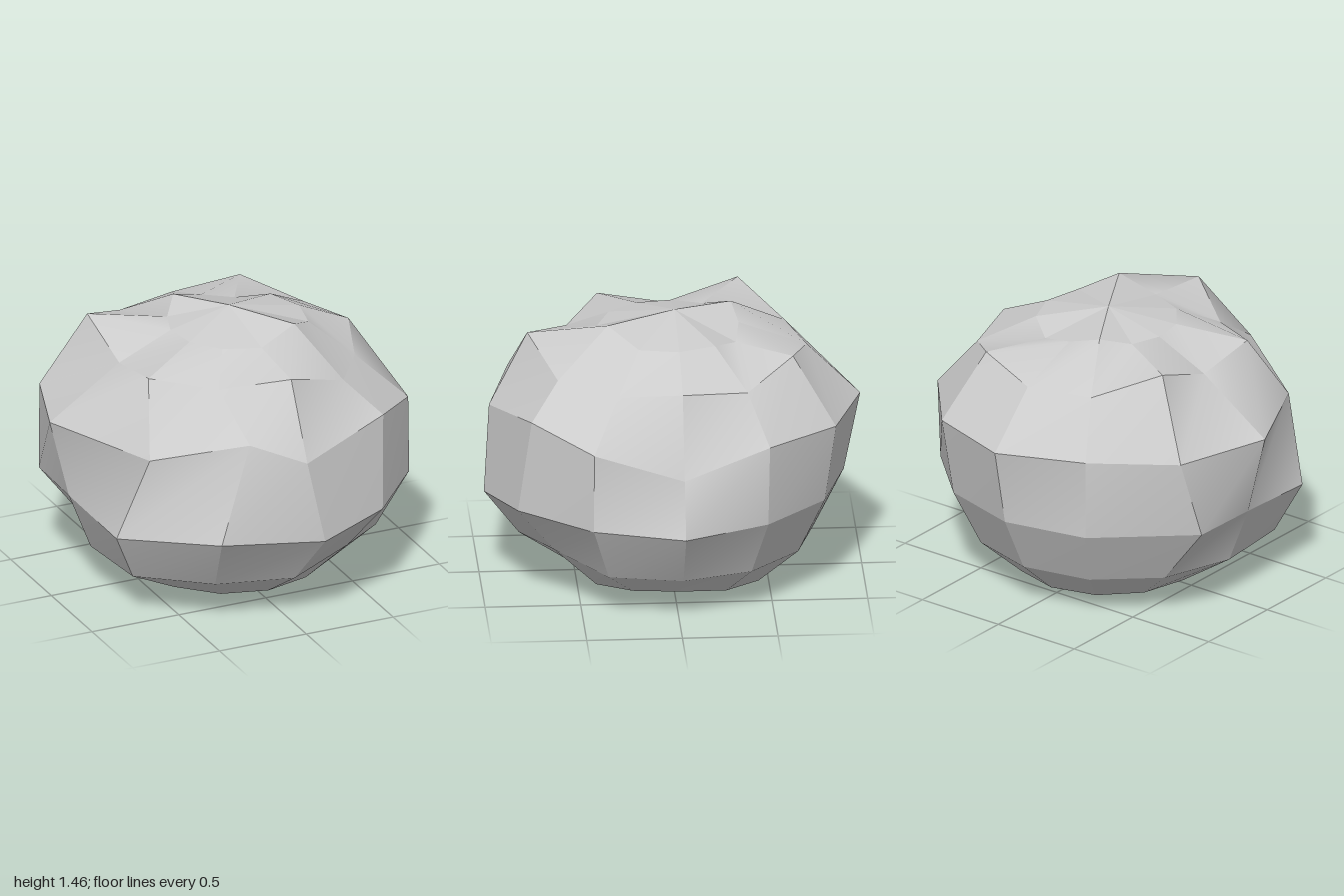
import * as THREE from 'three';

const SIDES = 12;
const CENTRE = { x: 0.03, z: -0.02 };

// Rings from top to bottom: mean radius, height, and a lean of the outline
// towards a direction in degrees. Each dent shifts one corner of the ring:
// side (0 at +x, turning towards +z), radius, height, turn in degrees.
const RINGS = [
  {
    radius: 0.37, height: 1.38, lean: 0.05, towards: 45,
    dents: [[2, 0, 0.08], [8, 0.03, 0.05], [10, 0, -0.04]],
  },
  {
    radius: 0.69, height: 1.25, lean: 0, towards: 0,
    dents: [
      [1, -0.03, -0.05], [2, 0.04, -0.03], [3, 0.08, 0.1], [4, -0.06, 0.01], [5, 0.04, 0.06],
      [6, -0.06, 0], [7, 0.05, 0.13], [10, 0, 0.07], [11, 0, -0.03],
    ],
  },
  {
    radius: 0.94, height: 0.97, lean: 0, towards: 0,
    dents: [
      [0, -0.09, -0.14], [2, 0, 0.08, -4], [3, 0.03, -0.02], [4, -0.04, 0.09, -12],
      [5, 0, -0.02, -9], [6, 0.09, 0.015], [7, 0.05, 0], [8, -0.04, 0], [9, 0.03, 0],
      [11, -0.04, 0.01],
    ],
  },
  {
    radius: 0.945, height: 0.545, lean: 0.07, towards: 120,
    dents: [
      [0, 0.06, 0], [3, 0, -0.045, -5], [4, 0.035, 0.01, -3], [5, 0.015, -0.045],
      [6, -0.06, 0], [7, 0.045, 0, -7],
    ],
  },
  {
    radius: 0.77, height: 0.23, lean: 0.05, towards: 120,
    dents: [[2, -0.04, 0.05], [5, 0.06, 0]],
  },
  {
    radius: 0.49, height: 0.025, lean: 0, towards: 0,
    dents: [[0, 0, 0.045], [1, 0, 0.03], [11, 0, 0.02]],
  },
];

function ringPoints({ radius, height, lean, towards, dents }) {
  return Array.from({ length: SIDES }, (_, j) => {
    const dent = dents.find(([side]) => side === j) ?? [];
    const [, dr = 0, dy = 0, turn = 0] = dent;
    const degrees = (j * 360) / SIDES;
    const r = radius + lean * Math.cos(THREE.MathUtils.degToRad(degrees - towards)) + dr;
    const angle = THREE.MathUtils.degToRad(degrees + turn);
    return [CENTRE.x + r * Math.cos(angle), height + dy, CENTRE.z + r * Math.sin(angle)];
  });
}

// Each facet keeps its own corners, so edges between facets stay sharp.
function facetedGeometry() {
  const rings = RINGS.map(ringPoints);
  const positions = [];
  const index = [];
  const addFacet = (...corners) => {
    const n = positions.length / 3;
    corners.forEach((p) => positions.push(...p));
    for (let k = 2; k < corners.length; k++) index.push(n, n + k - 1, n + k);
  };
  const top = [CENTRE.x, 1.46, CENTRE.z];
  const bottom = [CENTRE.x, 0, CENTRE.z];
  const last = rings[rings.length - 1];

  for (let j = 0; j < SIDES; j++) {
    const next = (j + 1) % SIDES;
    addFacet(top, rings[0][next], rings[0][j]);
    for (let i = 0; i < rings.length - 1; i++) {
      addFacet(rings[i][j], rings[i][next], rings[i + 1][next], rings[i + 1][j]);
    }
    addFacet(bottom, last[j], last[next]);
  }

  const geometry = new THREE.BufferGeometry();
  geometry.setAttribute('position', new THREE.Float32BufferAttribute(positions, 3));
  geometry.setIndex(index);
  geometry.computeVertexNormals();
  return geometry;
}

export function createModel() {
  const group = new THREE.Group();
  group.name = 'boulder';
  const rock = new THREE.Mesh(
    facetedGeometry(),
    new THREE.MeshStandardMaterial({ color: 0xcccccc })
  );
  rock.name = 'rock';
  group.add(rock);
  return group;
}
